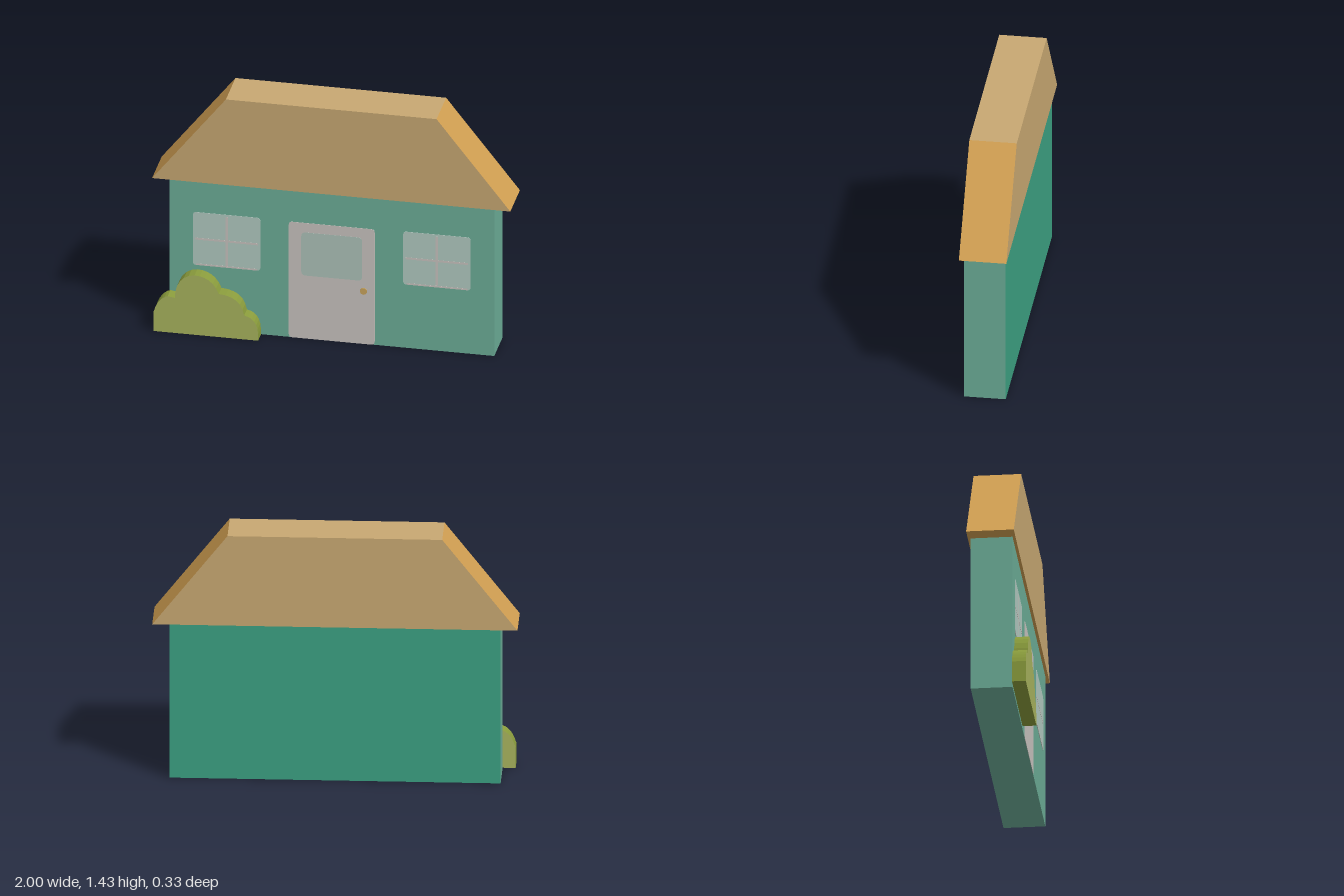
import * as THREE from 'three';

const paint = (name, color) => {
  const m = new THREE.MeshStandardMaterial({ color });
  m.name = name;
  return m;
};

export function createModel() {
  const house = new THREE.Group();
  house.name = 'house';

  const wallGreen = paint('wall green', 0x6cad97);
  const backGreen = paint('deep green', 0x3ca182);
  const roofTan = paint('roof tan', 0xc8a872);
  const roofEdge = paint('roof orange', 0xd19f52);
  const doorWhite = paint('door white', 0xc9c4c0);
  const glass = paint('window glass', 0xb2cac1);
  const doorGlass = paint('door glass', 0xaec3ba);
  const knobGold = paint('knob gold', 0xc9a55c);
  const leafFront = paint('leaf green', 0xa8b45e);
  const leafEdge = paint('leaf edge green', 0x8a9c3c);

  const add = (name, geometry, material, x = 0, y = 0, z = 0, parent = house) => {
    const mesh = new THREE.Mesh(geometry, material);
    mesh.name = name;
    mesh.position.set(x, y, z);
    parent.add(mesh);
    return mesh;
  };

  // Thin plate with rounded corners, centred in x and y, back at z = 0
  const plate = (w, h, r, depth) => {
    const s = new THREE.Shape();
    const a = w / 2, b = h / 2;
    s.moveTo(-a + r, -b).lineTo(a - r, -b);
    s.quadraticCurveTo(a, -b, a, -b + r).lineTo(a, b - r);
    s.quadraticCurveTo(a, b, a - r, b).lineTo(-a + r, b);
    s.quadraticCurveTo(-a, b, -a, b - r).lineTo(-a, -b + r);
    s.quadraticCurveTo(-a, -b, -a + r, -b);
    return new THREE.ExtrudeGeometry(s, { depth, bevelEnabled: false, curveSegments: 4 });
  };

  // Walls: the back is a deeper green
  const wallFront = 0.083;
  add('walls', new THREE.BoxGeometry(1.814, 0.906, 0.23),
    [wallGreen, wallGreen, wallGreen, wallGreen, wallGreen, backGreen], 0, 0.453, -0.032);

  // Roof: a box with its top edge drawn in, so the ends slope
  const roof = new THREE.BoxGeometry(2, 0.526, 0.262);
  const p = roof.attributes.position;
  for (let i = 0; i < p.count; i++) if (p.getY(i) > 0) p.setX(i, p.getX(i) * 0.588);
  roof.computeVertexNormals();
  add('roof', roof, [roofEdge, roofEdge, roofTan, roofEdge, roofTan, roofTan], 0, 1.169, -0.032);

  // Door with pane and knob
  add('door', plate(0.48, 0.71, 0.02, 0.002), doorWhite, 0, 0.355, wallFront);
  add('doorPane', plate(0.34, 0.265, 0.025, 0.001), doorGlass, 0, 0.52, wallFront + 0.002);
  const knob = add('doorKnob', new THREE.CylinderGeometry(0.02, 0.02, 0.007, 16), knobGold,
    0.178, 0.325, wallFront + 0.0035);
  knob.rotation.x = Math.PI / 2;

  // Windows with crossing bars
  for (const side of [-1, 1]) {
    const win = new THREE.Group();
    win.name = side < 0 ? 'rightWindow' : 'leftWindow';
    win.position.set(side * 0.587, 0.552, wallFront);
    house.add(win);
    add('glass', plate(0.377, 0.325, 0.02, 0.002), glass, 0, 0, 0, win);
    add('uprightBar', plate(0.014, 0.3, 0.002, 0.001), doorWhite, 0, 0, 0.002, win);
    add('crossBar', plate(0.35, 0.012, 0.002, 0.001), doorWhite, 0, 0, 0.002, win);
    add('sill', plate(0.34, 0.01, 0.002, 0.001), doorWhite, 0, -0.157, 0.002, win);
  }

  // Bush cut from a lobed outline
  const bush = new THREE.Shape();
  bush.moveTo(-0.978, 0).lineTo(-0.395, 0).lineTo(-0.395, 0.04);
  bush.quadraticCurveTo(-0.4, 0.135, -0.473, 0.147);
  bush.quadraticCurveTo(-0.49, 0.26, -0.615, 0.265);
  bush.bezierCurveTo(-0.64, 0.335, -0.69, 0.365, -0.75, 0.365);
  bush.bezierCurveTo(-0.82, 0.36, -0.86, 0.3, -0.86, 0.215);
  bush.lineTo(-0.9, 0.222);
  bush.quadraticCurveTo(-0.955, 0.205, -0.978, 0.12);
  bush.lineTo(-0.978, 0);
  add('bush', new THREE.ExtrudeGeometry(bush, { depth: 0.076, bevelEnabled: false, curveSegments: 6 }),
    [leafFront, leafEdge], 0, 0, 0.087);

  return house;
}
